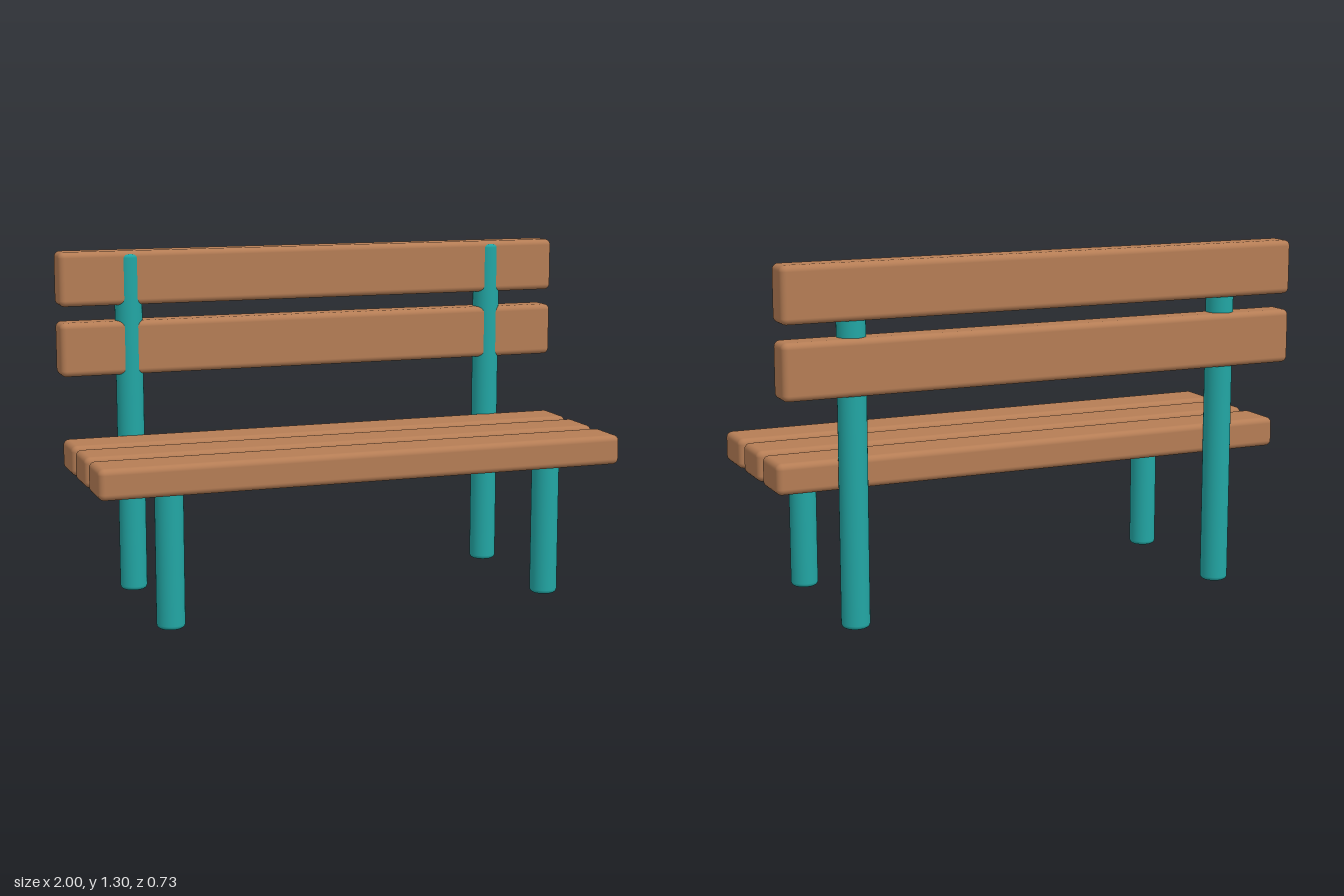
import * as THREE from 'three';
import { RoundedBoxGeometry } from 'three/addons/geometries/RoundedBoxGeometry.js';

export function createModel() {
  const bench = new THREE.Group();
  bench.name = 'bench';
  const wood = new THREE.MeshStandardMaterial({ name: 'brown wood', color: 0xb57d55 });
  const paint = new THREE.MeshStandardMaterial({ name: 'teal paint', color: 0x22a6a4 });

  // Plank with softened edges, running the full width
  function addPlank(name, height, depth, y, z) {
    const plank = new THREE.Mesh(new RoundedBoxGeometry(2, height, depth, 4, 0.022), wood);
    plank.name = name;
    plank.position.set(0, y, z);
    bench.add(plank);
  }

  // Round post with rounded rims, standing on the ground
  function addPost(name, height, x, z) {
    const radius = 0.0515, rim = 0.015, steps = 4;
    const profile = [new THREE.Vector2(0, 0), new THREE.Vector2(radius - rim - 0.002, 0)];
    for (const top of [false, true]) {
      for (let i = 0; i <= steps; i++) {
        const a = ((top ? i : i - steps) / steps) * Math.PI / 2;
        const centre = top ? height - rim : rim;
        profile.push(new THREE.Vector2(radius - rim + rim * Math.cos(a), centre + rim * Math.sin(a)));
      }
    }
    profile.push(new THREE.Vector2(radius - rim - 0.002, height), new THREE.Vector2(0, height));
    const post = new THREE.Mesh(new THREE.LatheGeometry(profile, 32), paint);
    post.name = name;
    post.position.set(x, 0, z);
    bench.add(post);
  }

  // Seat
  addPlank('frontSeatPlank', 0.112, 0.181, 0.549, 0.275);
  addPlank('middleSeatPlank', 0.112, 0.181, 0.549, 0.046);
  addPlank('rearSeatPlank', 0.112, 0.181, 0.549, -0.182);

  // Backrest
  addPlank('lowerBackPlank', 0.202, 0.113, 0.938, -0.309);
  addPlank('upperBackPlank', 0.202, 0.113, 1.2, -0.309);

  // Legs; the rear ones rise to carry the backrest
  for (const [side, x] of [['left', 0.732], ['right', -0.732]]) {
    addPost(side + 'FrontLeg', 0.56, x, 0.276);
    addPost(side + 'RearPost', 1.29, x, -0.297);
  }
  return bench;
}
